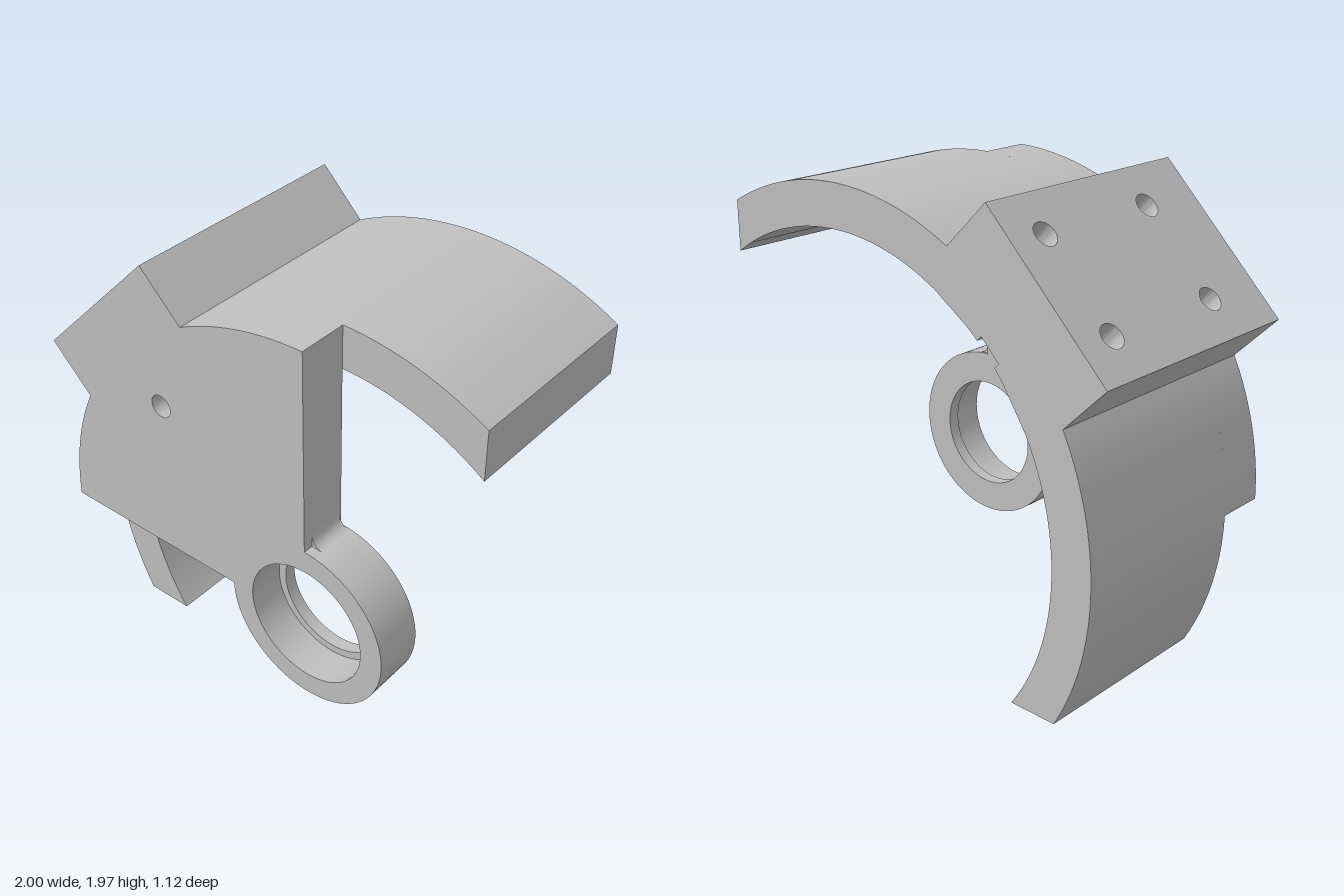
import * as THREE from 'three';
import { toCreasedNormals } from 'three/addons/utils/BufferGeometryUtils.js';

// Everything is measured from the ring's axis; D points out along the diagonal, T across it.
const R_OUT = 1.292, R_IN = 1.107, RING = 0.38, CUT = 0.628;
const BACK = -0.535, STEP = 0.315, FRONT = 0.535;
const HALF = 0.395, BLOCK = 1.5, NUT_FLOOR = 1.2;
const BOLT_T = 0.219, BOLT_Z = [-0.357, 0.238], NUT = 0.105;
const NUT_FLAT = NUT * Math.sqrt(3) / 2;
const SLOT_W = 0.0485, SLOT_DEEP = BOLT_Z[1] + NUT, SLOT_START = 0.35;
const ROD_D = 1.03, ROD_NUT = 0.12;
const S = Math.SQRT1_2;
const T = new THREE.Vector3(S, S, 0), D = new THREE.Vector3(-S, S, 0);

const td = (t, d) => new THREE.Vector2(S * (t - d), S * (t + d));
const tdz = (t, d, z) => { const p = td(t, d); return new THREE.Vector3(p.x, p.y, z); };

function circle(x, y, r) {
  return new THREE.Path().absarc(x, y, r, 0, Math.PI * 2, true);
}

// Extrude along z between two depths
function slab(shape, z0, z1, curveSegments = 48) {
  const geo = new THREE.ExtrudeGeometry(shape, { depth: z1 - z0, bevelEnabled: false, curveSegments });
  geo.translate(0, 0, z0);
  return toCreasedNormals(geo, 0.4);
}

// Extrude a (t, -z) shape outward along the diagonal
const outward = new THREE.Matrix4().makeBasis(T, new THREE.Vector3(0, 0, -1), D);
function outwardSlab(shape, d0, d1, bottomRule) {
  const geo = new THREE.ExtrudeGeometry(shape, { depth: d1 - d0, bevelEnabled: false, curveSegments: 16 });
  geo.translate(0, 0, d0);
  if (bottomRule) {
    const p = geo.attributes.position;
    for (let i = 0; i < p.count; i++) {
      if (p.getZ(i) < d0 + 1e-4) p.setZ(i, bottomRule(p.getX(i)));
    }
    geo.computeVertexNormals();
  }
  geo.applyMatrix4(outward);
  return toCreasedNormals(geo, 0.4);
}

function rectShape(t0, t1) {
  return new THREE.Shape([[t0, -STEP], [t1, -STEP], [t1, -BACK], [t0, -BACK]].map(p => new THREE.Vector2(...p)));
}

// Plate outline: quarter sector with the block's corner added
function plateShape() {
  const a = Math.asin(HALF / R_OUT), mid = Math.PI * 0.75;
  const s = new THREE.Shape();
  s.moveTo(0, RING - 0.005);
  s.lineTo(0, R_OUT);
  s.absarc(0, 0, R_OUT, Math.PI / 2, mid - a, false);
  for (const t of [HALF, -HALF]) { const p = td(t, BLOCK); s.lineTo(p.x, p.y); }
  s.absarc(0, 0, R_OUT, mid + a, Math.PI, false);
  s.lineTo(-RING + 0.005, 0);
  s.absarc(0, 0, RING - 0.005, Math.PI, Math.PI / 2, true);
  return s;
}

function rodNutHole() {
  const pts = [];
  for (let i = 0; i < 6; i++) {
    const a = -i * Math.PI / 3;
    pts.push(td(ROD_NUT * Math.cos(a), ROD_D + ROD_NUT * Math.sin(a)));
  }
  return new THREE.Path(pts);
}

export function createModel() {
  const root = new THREE.Group();
  const body = new THREE.Group();
  body.name = 'bracket';
  const grey = new THREE.MeshStandardMaterial({ color: 0xbfbfbf });
  grey.name = 'grey';
  const greyOpen = grey.clone();
  greyOpen.side = THREE.DoubleSide;
  const add = (name, geo, mat = grey) => {
    const m = new THREE.Mesh(geo, mat);
    m.name = name;
    body.add(m);
    return m;
  };

  // Front plate in three layers: rod hole, nut pocket, and pocket with tool slots
  const rod = td(0, ROD_D);
  const face = plateShape();
  face.holes.push(circle(rod.x, rod.y, 0.05));
  add('plateFace', slab(face, 0.42, FRONT));
  const middle = plateShape();
  middle.holes.push(rodNutHole());
  add('plateMiddle', slab(middle, SLOT_DEEP, 0.42));
  const rear = plateShape();
  rear.holes.push(rodNutHole());
  for (const c of [-BOLT_T, BOLT_T]) {
    rear.holes.push(new THREE.Path([
      td(c - SLOT_W, SLOT_START), td(c - SLOT_W, NUT_FLOOR), td(c + SLOT_W, NUT_FLOOR), td(c + SLOT_W, SLOT_START)]));
  }
  add('plateRear', slab(rear, STEP, SLOT_DEEP));

  // Sloping sides of the two V slots
  for (const c of [-BOLT_T, BOLT_T]) {
    for (const side of [-1, 1]) {
      const q = [tdz(c + side * SLOT_W, SLOT_START, STEP), tdz(c, SLOT_START, SLOT_DEEP - 0.001),
        tdz(c, NUT_FLOOR, SLOT_DEEP - 0.001), tdz(c + side * SLOT_W, NUT_FLOOR, STEP)];
      const order = side > 0 ? [0, 1, 2, 0, 2, 3] : [0, 2, 1, 0, 3, 2];
      const geo = new THREE.BufferGeometry().setFromPoints(order.map(i => q[i]));
      geo.computeVertexNormals();
      add('slotSide', geo, greyOpen);
    }
  }

  // Ring with a stepped bore
  for (const [name, bore, z0, z1] of [['ringLip', 0.243, STEP, 0.37], ['ringSeat', 0.278, 0.37, FRONT]]) {
    const s = new THREE.Shape().absarc(0, 0, RING, 0, Math.PI * 2, false);
    s.holes.push(circle(0, 0, bore));
    add(name, slab(s, z0, z1));
  }

  // Fillets where the plate edges meet the ring
  const f = 0.065;
  const map = { upper: (x, y) => [x, y], lower: (x, y) => [-y, -x] };
  for (const [name, m] of Object.entries(map)) {
    const s = new THREE.Shape();
    s.moveTo(...m(-0.02, 0.34));
    s.lineTo(...m(-0.02, RING + f));
    s.lineTo(...m(0, RING + f));
    s.quadraticCurveTo(...m(0, RING), ...m(f, RING - 0.006));
    s.lineTo(...m(f, 0.34));
    add(name + 'Fillet', slab(s, STEP + 0.01, 0.49, 8));
  }

  // Curved wings of the shell, mirrored across the diagonal
  const mid = Math.PI * 0.75;
  for (const side of [-1, 1]) {
    const ang = a => side > 0 ? a : Math.PI * 1.5 - a;
    const s = new THREE.Shape();
    s.absarc(0, 0, R_OUT, ang(mid - Math.asin(HALF / R_OUT)), ang(Math.acos(CUT / R_OUT)), side > 0);
    s.absarc(0, 0, R_IN, ang(Math.acos(CUT / R_IN)), ang(mid - Math.asin(HALF / R_IN)), side < 0);
    add(side > 0 ? 'upperWing' : 'lowerWing', slab(s, BACK, STEP));
  }

  // Mounting block with four bolt holes
  const block = rectShape(-HALF, HALF);
  for (const c of [-BOLT_T, BOLT_T]) for (const z of BOLT_Z) block.holes.push(circle(c, -z, 0.052));
  add('mountingBlock', outwardSlab(block, NUT_FLOOR, BLOCK));

  // Inner shell under the block: plain strips, a shallow groove and strips with hex pockets
  const inner = t => Math.sqrt(R_IN * R_IN - t * t);
  const e = 0.1;
  for (const side of [-1, 1]) {
    for (const [a, b] of [[0.06, BOLT_T - e], [BOLT_T + e, HALF]]) {
      add('innerStrip', outwardSlab(rectShape(...(side > 0 ? [a, b] : [-b, -a])), 1, NUT_FLOOR, inner));
    }
    const c = side * BOLT_T, z = BOLT_Z[1];
    const pocketed = new THREE.Shape([
      [c - e, BACK], [c + e, BACK], [c + e, STEP], [c + SLOT_W, STEP],
      [c + NUT_FLAT, z + NUT / 2], [c + NUT_FLAT, z - NUT / 2], [c, z - NUT],
      [c - NUT_FLAT, z - NUT / 2], [c - NUT_FLAT, z + NUT / 2], [c - SLOT_W, STEP], [c - e, STEP],
    ].map(p => new THREE.Vector2(p[0], -p[1])));
    const hex = [];
    for (let i = 0; i < 6; i++) {
      const a = i * Math.PI / 3;
      hex.push(new THREE.Vector2(c + NUT * Math.sin(a), -BOLT_Z[0] + NUT * Math.cos(a)));
    }
    pocketed.holes.push(new THREE.Path(hex));
    add('nutPocketStrip', outwardSlab(pocketed, 1, NUT_FLOOR, inner));
  }
  add('grooveFloor', outwardSlab(rectShape(-0.06, 0.06), ROD_D + ROD_NUT * Math.sqrt(3) / 2, NUT_FLOOR));

  body.position.set(0.352, 0.63, 0);
  // Slight turn about the vertical, pivoting on the model's centre
  const turn = new THREE.Group();
  turn.name = 'turnedBracket';
  turn.add(body);
  turn.rotation.y = -0.0265;
  root.add(turn);
  return root;
}
